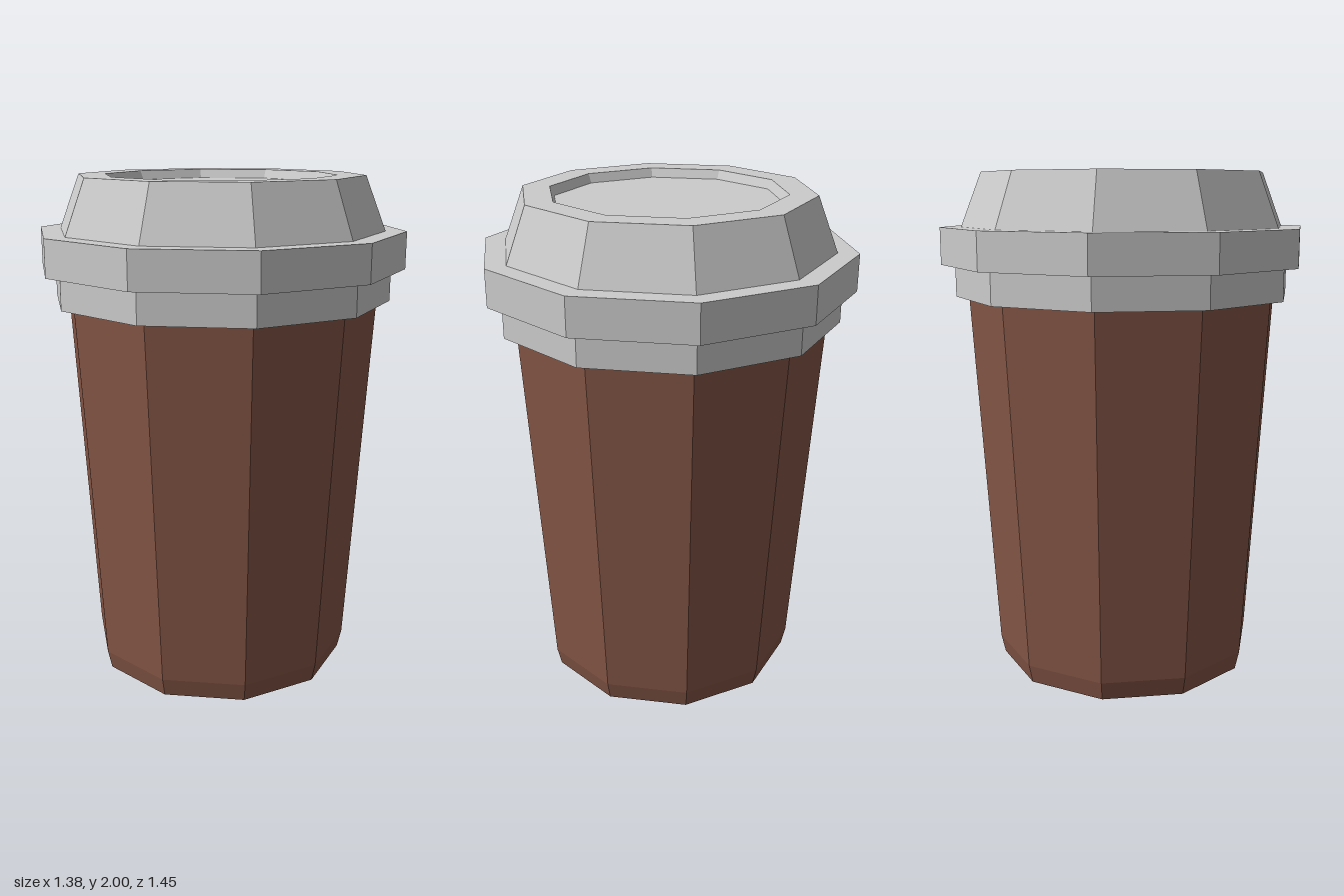
import * as THREE from 'three';

const SIDES = 10;

// Faceted solid of revolution; the profile runs from bottom to top as [radius, y]
function facetedLathe(name, profile, color) {
  const points = profile.map(([r, y]) => new THREE.Vector2(r, y));
  const material = new THREE.MeshStandardMaterial({ color, flatShading: true });
  const mesh = new THREE.Mesh(new THREE.LatheGeometry(points, SIDES), material);
  mesh.name = name;
  return mesh;
}

export function createModel() {
  const model = new THREE.Group();
  model.name = 'lidded cup';

  // Tapered cup with a recessed base and a chamfered foot
  model.add(facetedLathe('cup', [
    [0, 0.04], [0.37, 0.04], [0.41, 0], [0.515, 0],
    [0.532, 0.075], [0.622, 1.53], [0, 1.53],
  ], 0x855646));

  // Lid: lower collar, wide rim, sloped dome and sunken top
  model.add(facetedLathe('lid', [
    [0.6, 1.52], [0.672, 1.52], [0.672, 1.645],
    [0.727, 1.645], [0.727, 1.79],
    [0.645, 1.79], [0.563, 2], [0.456, 2],
    [0.44, 1.965], [0, 1.965],
  ], 0xcccccc));

  return model;
}
